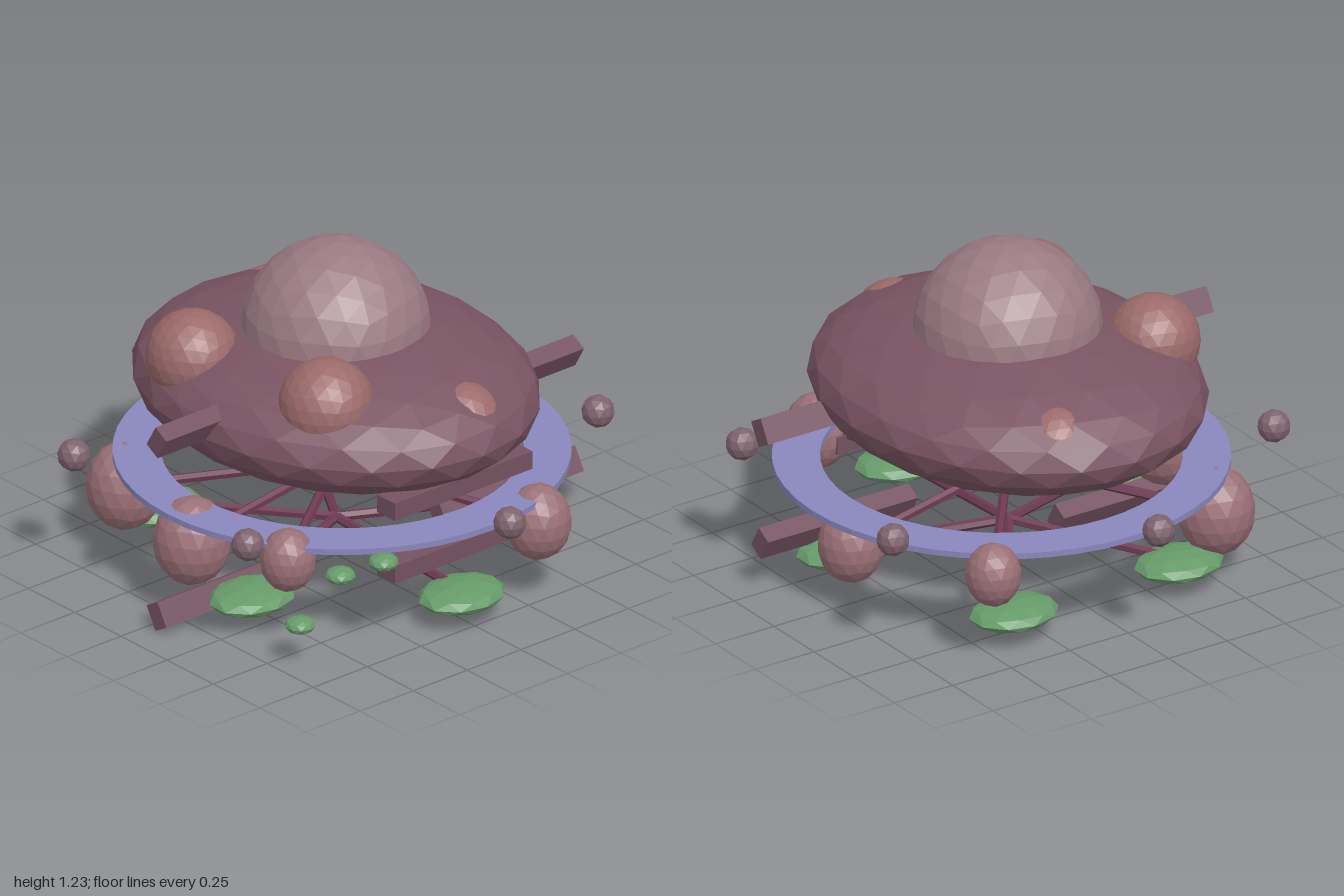
import * as THREE from 'three';

const paint = (color) => new THREE.MeshStandardMaterial({ color, flatShading: true });
const mats = {
  hull: paint(0x7a5462), dome: paint(0x9a7a82), blister: paint(0x9c6a6a), pod: paint(0x9a7076),
  orb: paint(0x7e626c), ring: paint(0x8a86bc), leaf: paint(0x669a68), spoke: paint(0x6e3a52),
  beam: paint(0x745260),
};

export function createModel() {
  const model = new THREE.Group();

  const add = (name, geometry, mat, pos, parent = model) => {
    const mesh = new THREE.Mesh(geometry, mat);
    mesh.name = name;
    mesh.position.set(...pos);
    parent.add(mesh);
    return mesh;
  };
  const group = (name) => {
    const g = new THREE.Group();
    g.name = name;
    model.add(g);
    return g;
  };
  // Faceted ellipsoid with one vertex at the pole
  const ball = (name, mat, pos, [rx, ry, rz], detail, parent) => {
    const geo = new THREE.IcosahedronGeometry(1, detail);
    geo.rotateX(-Math.atan2((1 + Math.sqrt(5)) / 2, 1));
    geo.scale(rx, ry, rz);
    return add(name, geo, mat, pos, parent);
  };
  // Thin rod between two points
  const rod = (name, from, to, radius, parent) => {
    const a = new THREE.Vector3(...from), b = new THREE.Vector3(...to);
    const dir = b.clone().sub(a);
    const geo = new THREE.CylinderGeometry(radius, radius, dir.length(), 6);
    const mesh = add(name, geo, mats.spoke, a.add(b).multiplyScalar(0.5).toArray(), parent);
    mesh.quaternion.setFromUnitVectors(new THREE.Vector3(0, 1, 0), dir.normalize());
  };

  // Saucer hull and dome
  ball('hull', mats.hull, [0, 0.69, 0], [0.8, 0.265, 0.665], 3);
  ball('dome', mats.dome, [0, 0.89, 0], [0.34, 0.34, 0.34], 3);

  // Blisters swelling out of the hull
  const blisters = group('blisters');
  [
    [-0.257, 0.835, 0.445, 0.168], [0.343, 0.83, 0.34, 0.172],
    [-0.565, 0.72, -0.18, 0.14], [0.59, 0.715, -0.08, 0.152],
  ].forEach(([x, y, z, r]) => ball('blister', mats.blister, [x, y, z], [r, r, r], 3, blisters));

  // Flat ring under the hull
  const ringShape = new THREE.Shape().absarc(0, 0, 0.81, 0, Math.PI * 2);
  ringShape.holes.push(new THREE.Path().absarc(0, 0, 0.64, 0, Math.PI * 2, true));
  const ringGeo = new THREE.ExtrudeGeometry(ringShape, { depth: 0.022, bevelEnabled: false, curveSegments: 24 });
  ringGeo.rotateX(-Math.PI / 2);
  add('ring', ringGeo, mats.ring, [0, 0.391, -0.028]);

  // Small orbs around the rim
  const orbs = group('orbs');
  for (let i = 0; i < 6; i++) {
    const a = (i * Math.PI) / 3;
    ball('orb', mats.orb, [0.94 * Math.cos(a), 0.48, 0.94 * Math.sin(a)], [0.06, 0.06, 0.06], 1, orbs);
  }

  // Egg-shaped pods on the upper spokes
  const pods = group('pods');
  [
    [-0.682, 0.35, -0.53, 0.1], [-0.525, 0.25, 0.53, 0.14], [0, 0.275, 0.67, 0.14],
    [0.438, 0.34, 0.6, 0.1], [0.72, 0.3, -0.32, 0.12], [0, 0.235, -0.67, 0.12],
  ].forEach(([x, y, z, r]) => {
    ball('pod', mats.pod, [x, y, z], [r, r * 1.18, r], 2, pods);
    rod('podSpoke', [0, 0.37, 0], [x, y, z], 0.018, pods);
  });

  // Leaf-like feet on the lower spokes
  const feet = group('feet');
  for (let i = 0; i < 5; i++) {
    const a = (i * Math.PI * 2) / 5;
    const x = 0.68 * Math.cos(a), z = 0.6 * Math.sin(a);
    ball('foot', mats.leaf, [x, 0.102, z], [0.137, 0.046, 0.17], 1, feet);
    rod('footSpoke', [0, 0.152, 0], [x, 0.115, z], 0.018, feet);
  }

  // Little floating green pebbles
  const pebbles = group('pebbles');
  [[0.27, 0.39, -0.13], [0.715, 0.37, 0.395], [0.46, 0.215, 0.376], [0.585, 0.162, 0.67]]
    .forEach((p) => ball('pebble', mats.leaf, p, [0.055, 0.03, 0.055], 1, pebbles));

  // Long beams lying along z, rolled in two tiers
  const beams = group('beams');
  [
    [0.643, 0.53, 0, 0], [0.053, 0.745, 0.56, 1], [0.264, 0.622, -0.56, 1],
    [0.643, 0.283, 0, 0], [0.053, 0.062, 0.56, -1], [0.264, 0.19, -0.56, -1],
  ].forEach(([x, y, z, roll]) => {
    const beam = add('beam', new THREE.BoxGeometry(0.096, 0.068, 0.64), mats.beam, [x, y, z], beams);
    beam.rotation.z = (roll * Math.PI) / 3;
  });

  return model;
}
